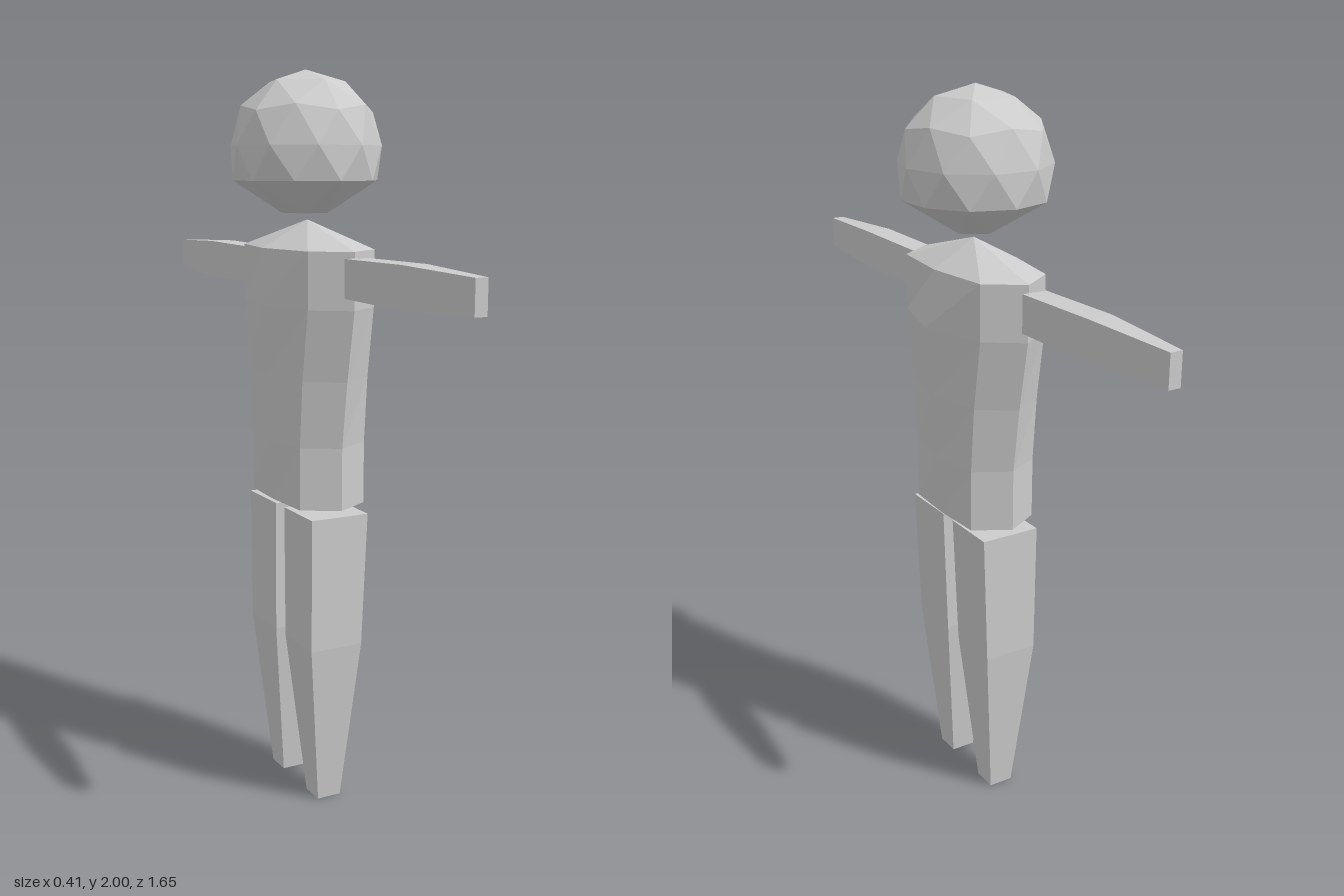
import * as THREE from 'three';

const material = new THREE.MeshStandardMaterial({ color: 0xcccccc, flatShading: true });

// Joins rings of [x, y, z] points (bottom to top, turning from +z to +x) and closes both ends.
function loft(rings, topCentre) {
  const pos = [];
  const tri = (a, b, c) => pos.push(...a, ...b, ...c);
  const n = rings[0].length;
  const centre = ring => [0, 1, 2].map(k => ring.reduce((s, p) => s + p[k], 0) / n);
  const last = rings[rings.length - 1];
  const bottom = centre(rings[0]);
  const top = topCentre || centre(last);
  for (let j = 0; j < n; j++) {
    const k = (j + 1) % n;
    for (let i = 0; i < rings.length - 1; i++) {
      const lo = rings[i], hi = rings[i + 1];
      tri(lo[j], lo[k], hi[k]);
      tri(lo[j], hi[k], hi[j]);
    }
    tri(bottom, rings[0][k], rings[0][j]);
    tri(top, last[j], last[k]);
  }
  const geometry = new THREE.BufferGeometry();
  geometry.setAttribute('position', new THREE.Float32BufferAttribute(pos, 3));
  geometry.computeVertexNormals();
  return geometry;
}

// Rectangular ring for the limbs
const rect = (y, x0, x1, z0, z1) => [[x0, y, z1], [x1, y, z1], [x1, y, z0], [x0, y, z0]];

function torsoGeometry() {
  // height, back x, chest x, side z, corner z
  const levels = [
    [0.85, -0.10, 0.11, 0.20, 0.145],
    [1.02, -0.115, 0.125, 0.20, 0.145],
    [1.20, -0.12, 0.14, 0.225, 0.16],
    [1.39, -0.135, 0.155, 0.26, 0.19],
    [1.54, -0.13, 0.125, 0.26, 0.19],
  ];
  const rings = levels.map(([y, back, chest, side, corner]) => [
    [0.005, y, side], [0.103, y, corner], [chest, y, 0], [0.103, y, -corner],
    [0.005, y, -side], [-0.093, y, -corner], [back, y, 0], [-0.093, y, corner],
  ]);
  return loft(rings, [0.005, 1.612, 0]);
}

function headGeometry() {
  // Faceted ball with a wide jaw line and a flat chin
  const g = new THREE.IcosahedronGeometry(1, 1);
  g.rotateX(-Math.atan2((1 + Math.sqrt(5)) / 2, 1));
  const p = g.attributes.position;
  for (let i = 0; i < p.count; i++) {
    const x = p.getX(i), y = p.getY(i), z = p.getZ(i);
    const r = Math.hypot(x, z);
    let radius = r * 0.203, height = 1.805 + y * 0.195;
    if (y < -0.7) {
      radius = r > 0.1 ? 0.065 : 0;
      height = 1.63;
    } else if (y < -0.3) {
      radius = 0.195;
      height = 1.715;
    }
    const s = r > 1e-6 ? radius / r : 0;
    p.setXYZ(i, x * s, height, z * s);
  }
  g.computeVertexNormals();
  return g;
}

export function createModel() {
  const model = new THREE.Group();
  const add = (name, geometry) => {
    const mesh = new THREE.Mesh(geometry, material);
    mesh.name = name;
    model.add(mesh);
    return mesh;
  };

  add('head', headGeometry());
  add('torso', torsoGeometry());

  for (const side of [1, -1]) {
    const label = side > 0 ? 'Front' : 'Rear';

    // Leg tapering from the knee to the foot
    const leg = loft([
      rect(0, -0.035, 0.035, -0.035, 0.035),
      rect(0.46, -0.08, 0.075, -0.077, 0.08),
      rect(0.83, -0.08, 0.09, -0.082, 0.083),
    ]);
    add('leg' + label, leg).position.z = side * 0.108;

    // Outstretched arm tapering from the elbow to the hand
    const arm = loft([
      rect(0.278, -0.035, 0.035, -0.05, 0.05),
      rect(0.55, -0.035, 0.035, -0.053, 0.053),
      rect(0.823, -0.017, 0.017, -0.043, 0.043),
    ]);
    arm.rotateX(side * Math.PI / 2);
    add('arm' + label, arm).position.y = 1.475;
  }
  return model;
}
